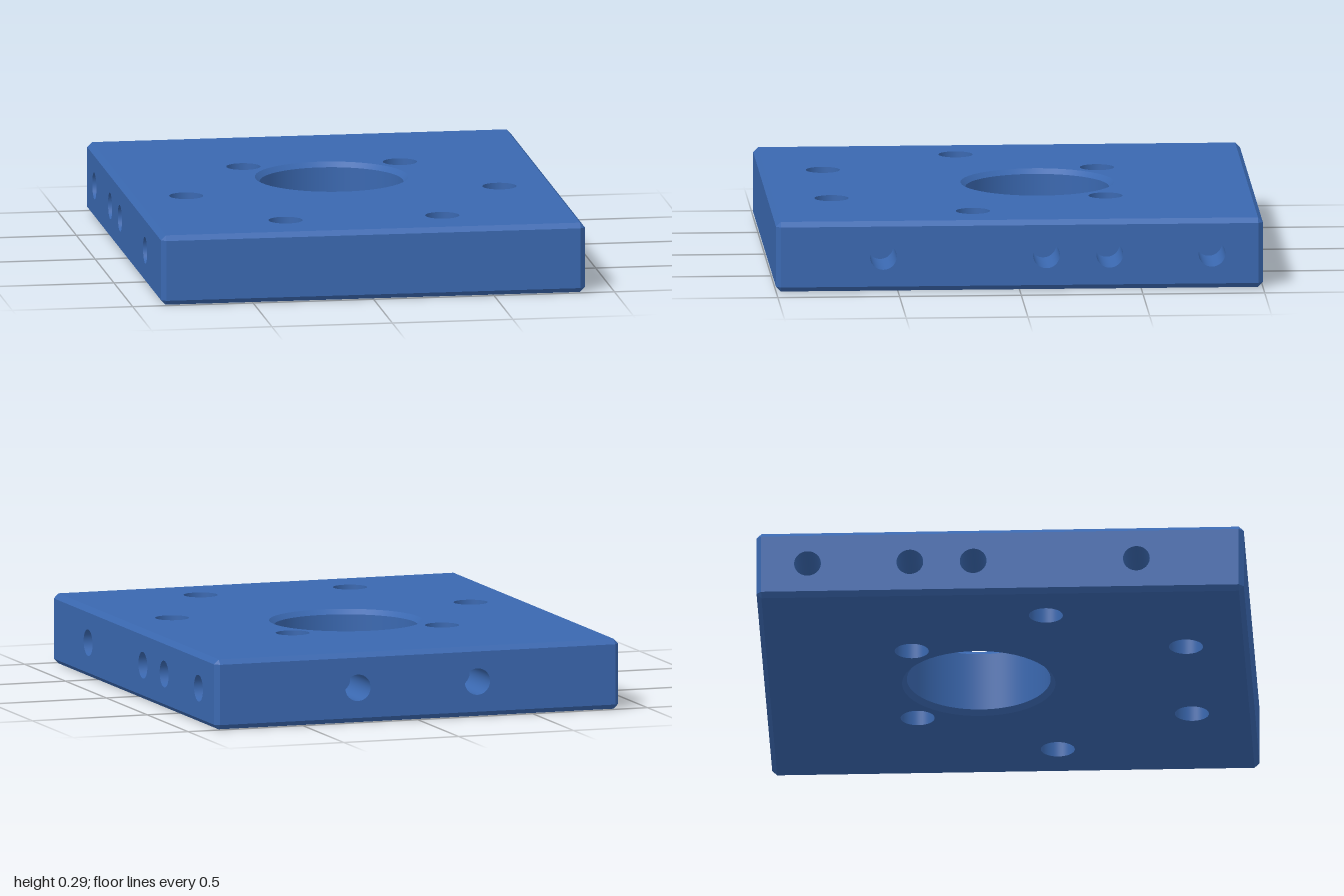
import * as THREE from 'three';

const HALF = [0.88, 0.145, 1]; // half sizes along x, y, z
const C = 0.02;                // edge chamfer
const SEG = 48;
const material = new THREE.MeshStandardMaterial({ color: 0x3a68b0 });
const boreMaterial = new THREE.MeshStandardMaterial({ color: 0x3a68b0, side: THREE.DoubleSide });

function part(name, geometry, mat = material) {
  const mesh = new THREE.Mesh(geometry, mat);
  mesh.name = name;
  return mesh;
}

// Flat face looking along +z, pierced by holes { x, y, r, depth, blind }
function panel(name, halfW, halfH, offset, holes) {
  const g = new THREE.Group();
  g.name = name;
  const w = halfW - C, h = halfH - C;
  const shape = new THREE.Shape();
  shape.moveTo(-w, -h).lineTo(w, -h).lineTo(w, h).lineTo(-w, h).closePath();
  for (const { x, y, r, depth, blind } of holes) {
    shape.holes.push(new THREE.Path().absarc(x, y, r, 0, Math.PI * 2, true));
    if (!depth) continue;
    const bore = new THREE.CylinderGeometry(r, r, depth, SEG, 1, true);
    bore.rotateX(Math.PI / 2).translate(x, y, offset - depth / 2);
    g.add(part('holeWall', bore, boreMaterial));
    if (blind) {
      g.add(part('holeBottom', new THREE.CircleGeometry(r, SEG).translate(x, y, offset - depth)));
    }
  }
  g.add(part(name + 'Surface', new THREE.ShapeGeometry(shape, SEG / 2).translate(0, 0, offset)));
  return g;
}

// Chamfer strips along the 12 edges and triangles on the 8 corners
function chamferGeometry() {
  const pos = [];
  // Corner point lying on the face of the given axis
  const corner = (s, axis) =>
    new THREE.Vector3(...HALF.map((h, i) => s[i] * (i === axis ? h : h - C)));
  const tri = (a, b, c) => {
    const n = b.clone().sub(a).cross(c.clone().sub(a));
    const mid = a.clone().add(b).add(c);
    const list = n.dot(mid) > 0 ? [a, b, c] : [a, c, b]; // keep faces outward
    list.forEach((p) => pos.push(p.x, p.y, p.z));
  };
  for (let axis = 0; axis < 3; axis++) {
    const u = (axis + 1) % 3, v = (axis + 2) % 3;
    for (const su of [-1, 1]) for (const sv of [-1, 1]) {
      const s0 = [], s1 = [];
      s0[axis] = -1; s1[axis] = 1;
      s0[u] = s1[u] = su;
      s0[v] = s1[v] = sv;
      const a = corner(s0, u), b = corner(s1, u), c = corner(s1, v), d = corner(s0, v);
      tri(a, b, c);
      tri(a, c, d);
    }
  }
  for (const x of [-1, 1]) for (const y of [-1, 1]) for (const z of [-1, 1]) {
    tri(...[0, 1, 2].map((axis) => corner([x, y, z], axis)));
  }
  const geo = new THREE.BufferGeometry();
  geo.setAttribute('position', new THREE.Float32BufferAttribute(pos, 3));
  geo.computeVertexNormals();
  return geo;
}

export function createModel() {
  const model = new THREE.Group();
  model.name = 'mountingPlate';
  const plate = new THREE.Group();
  plate.name = 'plate';
  plate.position.y = HALF[1];
  model.add(plate);
  const [hx, hy, hz] = HALF;

  // Through holes: six-hole ring and the large off-centre bore
  const ring = [0, 60, 120, 180, 240, 300].map((deg) => {
    const a = THREE.MathUtils.degToRad(deg);
    return { x: 0.65 * Math.cos(a), z: 0.18 + 0.65 * Math.sin(a) };
  });
  const boreZ = -0.12, boreR = 0.295;
  const top = panel('topFace', hx, hz, hy, [
    ...ring.map(({ x, z }) => ({ x, y: -z, r: 0.07, depth: 2 * hy })),
    { x: 0, y: -boreZ, r: boreR + C },
  ]);
  top.rotation.x = -Math.PI / 2;
  const bottom = panel('bottomFace', hx, hz, hy, [
    ...ring.map(({ x, z }) => ({ x, y: z, r: 0.07 })),
    { x: 0, y: boreZ, r: boreR + C },
  ]);
  bottom.rotation.x = Math.PI / 2;

  // Large bore: straight wall with a chamfer at each end
  const rims = [
    ['boreBottomChamfer', boreR + C, -hy, boreR, -hy + C],
    ['boreWall', boreR, -hy + C, boreR, hy - C],
    ['boreTopChamfer', boreR, hy - C, boreR + C, hy],
  ];
  for (const [name, r0, y0, r1, y1] of rims) {
    const wall = part(name, new THREE.CylinderGeometry(r1, r0, y1 - y0, 96, 1, true), boreMaterial);
    wall.position.set(0, (y0 + y1) / 2, boreZ);
    plate.add(wall);
  }

  // Side faces with blind holes
  const blind = (x) => ({ x, y: 0, r: 0.055, depth: 0.25, blind: true });
  const sideZ = [0.56, -0.11, -0.37, -0.79];
  const front = panel('frontFace', hx, hy, hz, []);
  const back = panel('backFace', hx, hy, hz, [-0.26, 0.26].map(blind));
  back.rotation.y = Math.PI;
  const left = panel('leftFace', hz, hy, hx, sideZ.map((z) => blind(-z)));
  left.rotation.y = Math.PI / 2;
  const right = panel('rightFace', hz, hy, hx, sideZ.map(blind));
  right.rotation.y = -Math.PI / 2;

  plate.add(top, bottom, front, back, left, right, part('edgeChamfers', chamferGeometry()));
  return model;
}
